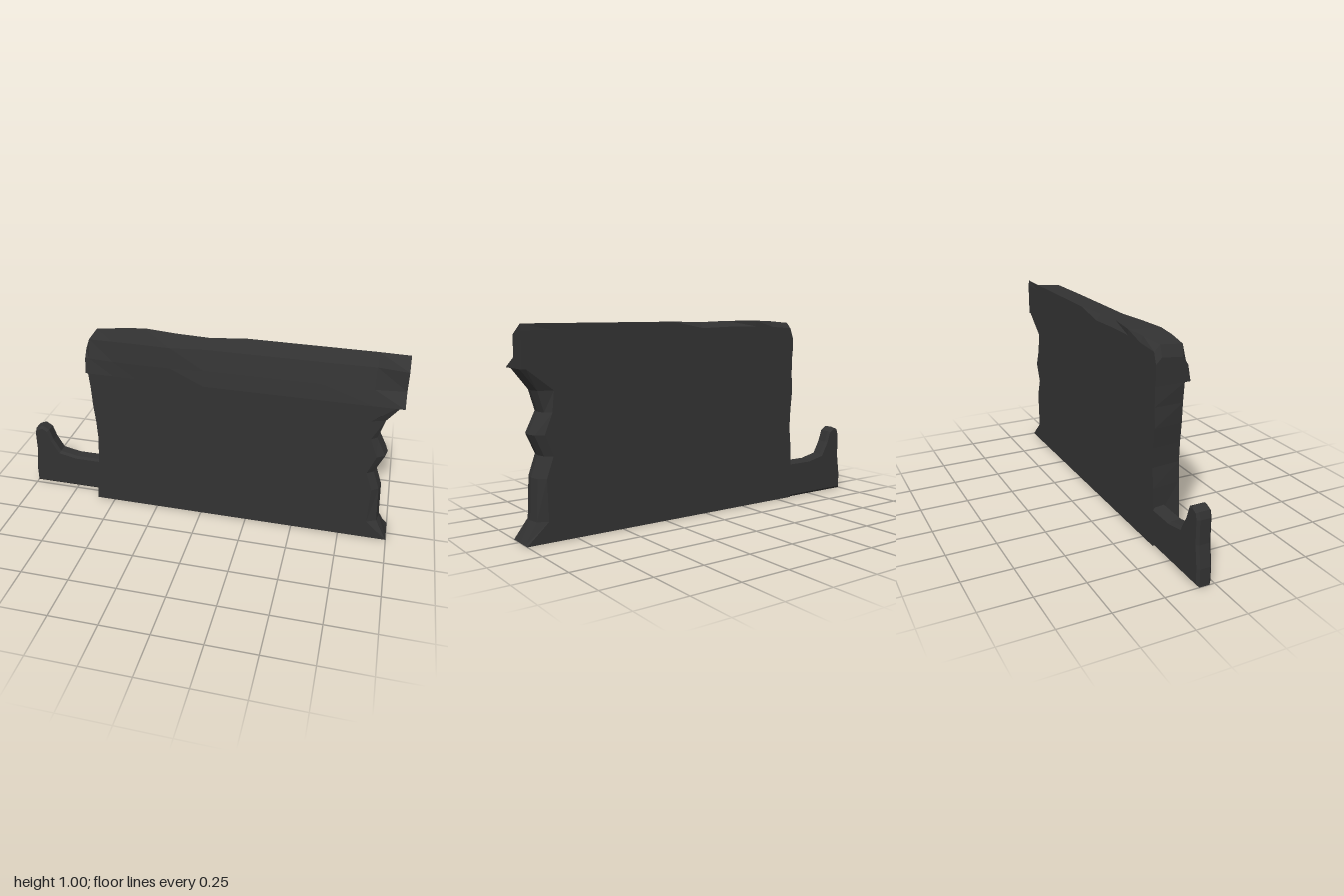
import * as THREE from 'three';

const stone = new THREE.MeshStandardMaterial({ color: 0x333333, flatShading: true });
stone.name = 'dark stone';

// Joins equal-length rings of [x, y, z] into a closed faceted solid.
function loft(rings) {
  const out = [];
  const tri = (a, b, c) => out.push(...a, ...b, ...c);
  const n = rings[0].length;
  for (let r = 0; r < rings.length - 1; r++) {
    const a = rings[r], b = rings[r + 1];
    for (let i = 0; i < n; i++) {
      const j = (i + 1) % n;
      tri(a[i], a[j], b[j]);
      tri(a[i], b[j], b[i]);
    }
  }
  const first = rings[0], last = rings[rings.length - 1];
  for (let i = 1; i < n - 1; i++) {
    tri(first[0], first[i + 1], first[i]);
    tri(last[0], last[i], last[i + 1]);
  }
  const g = new THREE.BufferGeometry();
  g.setAttribute('position', new THREE.Float32BufferAttribute(out, 3));
  g.computeVertexNormals();
  return g;
}

function addPart(group, name, geometry) {
  const mesh = new THREE.Mesh(geometry, stone);
  mesh.name = name;
  group.add(mesh);
  return mesh;
}

export function createModel() {
  const group = new THREE.Group();
  group.name = 'ruinedWall';

  // Main slab: each row is height, left front x, left back x, broken end inner x, outer x
  const rows = [
    [0, -0.6, -0.6, 1, 1],
    [0.1, -0.59, -0.6, 0.89, 0.95],
    [0.3, -0.575, -0.595, 0.895, 0.94],
    [0.4, -0.57, -0.585, 0.86, 0.905],
    [0.5, -0.575, -0.59, 0.9, 0.95],
    [0.6, -0.585, -0.6, 0.86, 0.9],
    [0.7, -0.59, -0.595, 0.85, 0.93],
    [0.8, -0.6, -0.595, 0.98, 1],
  ];
  addPart(group, 'wallSlab', loft(rows.map(([y, lf, lb, inner, outer]) => [
    [lf, y, 0.06],
    [inner, y, 0.06],
    [outer - 0.01 * (outer < 1), y, 0.035],
    [outer, y, -0.015],
    [outer - 0.01 * (outer < 1), y, -0.065],
    [inner, y, -0.09],
    [lb, y, -0.09],
  ])));

  // Overhanging coping: each station is x, top front z, top back z, front height, back height
  const stations = [
    [-0.6, 0.05, -0.06, 0.92, 0.93],
    [-0.58, 0.055, -0.06, 0.975, 0.985],
    [-0.45, 0.075, -0.075, 0.985, 0.995],
    [-0.33, 0.085, -0.09, 0.99, 1],
    [-0.15, 0.08, -0.065, 0.985, 1],
    [0.02, 0.057, -0.065, 0.985, 0.995],
    [0.2, 0.057, -0.09, 0.985, 1],
    [0.6, 0.055, -0.09, 0.985, 1],
    [0.85, 0.05, -0.09, 0.985, 1],
  ];
  const copingRings = stations.map(([x, zf, zb, yf, yb]) => [
    [x, 0.8, -0.09],
    [x, yb - 0.03, -0.09],
    [x, yb, zb],
    [x, yf, zf],
    [x, 0.88, (zf + 0.09) / 2 + 0.005],
    [x, 0.8, 0.09],
  ]);
  // Chipped end of the coping
  copingRings.push([
    [1, 0.8, -0.09], [1, 0.97, -0.09], [1, 1, -0.085],
    [1, 0.95, 0], [1, 0.85, 0], [1, 0.8, 0.09],
  ]);
  addPart(group, 'coping', loft(copingRings));

  // Low broken stub beside the slab
  const outline = [
    [-1, 0], [-0.57, 0], [-0.57, 0.2], [-0.745, 0.2], [-0.84, 0.22], [-0.88, 0.29],
    [-0.9, 0.35], [-0.935, 0.372], [-0.975, 0.355], [-0.985, 0.32], [-0.985, 0.2], [-1, 0.09],
  ].map(([x, y]) => new THREE.Vector2(x, y));
  const bevel = 0.012;
  const stub = new THREE.ExtrudeGeometry(new THREE.Shape(outline), {
    depth: 0.075 - 2 * bevel, bevelEnabled: true, bevelSegments: 1,
    bevelSize: bevel, bevelThickness: bevel, bevelOffset: -bevel,
  });
  stub.translate(0, 0, -0.09 + bevel);
  addPart(group, 'brokenStub', stub);

  return group;
}
